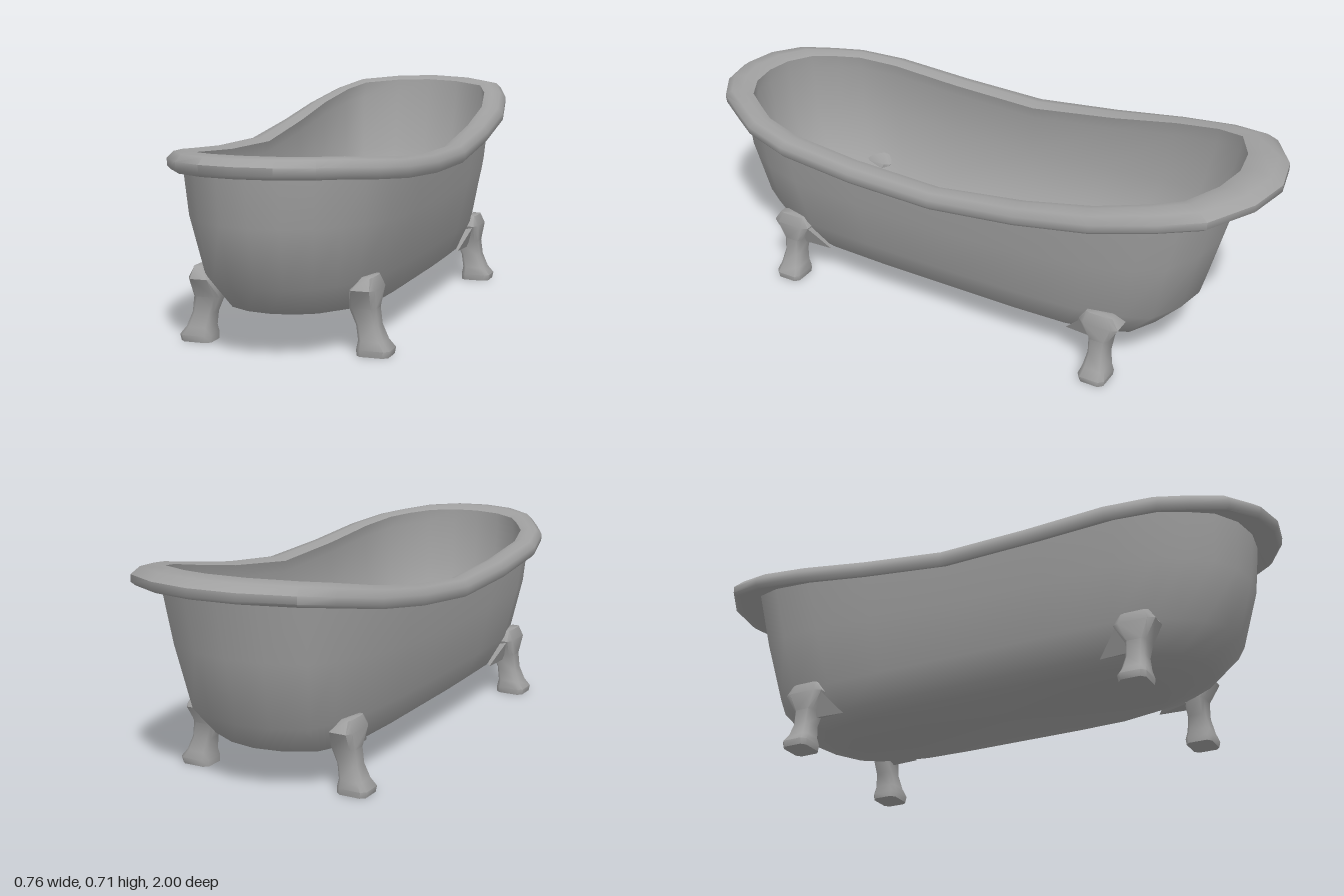
import * as THREE from 'three';
import { toCreasedNormals } from 'three/addons/utils/BufferGeometryUtils.js';
import { ConvexGeometry } from 'three/addons/geometries/ConvexGeometry.js';

const enamel = new THREE.MeshStandardMaterial({ color: 0xa0a0a0 });
enamel.name = 'grey enamel';

// Half plan of the tub (x, z), front to back, for a full-size rim
const HALF = [[0, 1], [0.11, 0.98], [0.21, 0.915], [0.275, 0.815], [0.33, 0.725], [0.37, 0.57],
  [0.38, 0.3], [0.38, 0], [0.38, -0.3], [0.37, -0.55], [0.33, -0.75], [0.28, -0.88],
  [0.14, -0.97], [0, -1]];
const OUTLINE = [...HALF, ...HALF.slice(1, -1).reverse().map(([x, z]) => [-x, z])];

// Height of the rim along its length (z, y)
const SHEER = [[-1, 0.708], [-0.88, 0.692], [-0.75, 0.668], [-0.55, 0.627], [-0.3, 0.585],
  [0, 0.55], [0.3, 0.555], [0.6, 0.575], [0.85, 0.6], [1, 0.608]];
function sheer(z) {
  let i = 1;
  while (i < SHEER.length - 1 && SHEER[i][0] < z) i++;
  const [z0, y0] = SHEER[i - 1], [z1, y1] = SHEER[i];
  return y0 + (y1 - y0) * (z - z0) / (z1 - z0);
}

// One level of the tub: half width, front and back reach, side height, share of sheer,
// how much fuller the ends are than the rim's, and the fall towards the front
function tubRing([w, front, back, y, k, full, fall = 0]) {
  return OUTLINE.map(([x, z]) => {
    const t = z * (1 + full * (1 - Math.abs(z)));
    const depth = t * (t > 0 ? front : back);
    return new THREE.Vector3(x * w / 0.38, y + k * (sheer(t) - 0.55) - fall * depth, depth);
  });
}

// Skin between closed rings, with optional end caps
function loft(rings, { capStart = false, capEnd = false, flip = false, crease = 1 } = {}) {
  const n = rings[0].length, pos = rings.flat().flatMap((p) => p.toArray()), index = [];
  const tri = (a, b, c) => (flip ? index.push(a, c, b) : index.push(a, b, c));
  for (let i = 0; i < rings.length - 1; i++) {
    for (let j = 0; j < n; j++) {
      const a = i * n + j, b = i * n + (j + 1) % n;
      tri(a, b, b + n);
      tri(a, b + n, a + n);
    }
  }
  const cap = (row, start) => {
    const centre = new THREE.Vector3();
    rings[row].forEach((p) => centre.addScaledVector(p, 1 / n));
    const c = pos.length / 3;
    pos.push(...centre.toArray());
    for (let j = 0; j < n; j++) {
      const a = row * n + j, b = row * n + (j + 1) % n;
      if (start) tri(c, b, a); else tri(c, a, b);
    }
  };
  if (capStart) cap(0, true);
  if (capEnd) cap(rings.length - 1, false);
  const geo = new THREE.BufferGeometry();
  geo.setAttribute('position', new THREE.Float32BufferAttribute(pos, 3));
  geo.setIndex(index);
  return toCreasedNormals(geo, crease);
}

function part(name, geo) {
  const mesh = new THREE.Mesh(geo, enamel);
  mesh.name = name;
  return mesh;
}

const SHELL = [
  [0.21, 0.6, 0.58, 0.103, 0, 0.25],
  [0.245, 0.75, 0.68, 0.13, 0, 0.25],
  [0.28, 0.85, 0.77, 0.215, 0.08, 0.25],
  [0.315, 0.9, 0.825, 0.38, 0.4, 0.25],
  [0.33, 0.915, 0.87, 0.515, 0.8, 0.25],
];
const RIM = [
  [0.33, 0.915, 0.87, 0.515, 0.8, 0.25],
  [0.371, 0.985, 0.985, 0.495, 1, 0],
  [0.38, 0.997, 1, 0.507, 1, 0],
  [0.38, 1, 1, 0.53, 1, 0],
  [0.365, 0.975, 0.965, 0.549, 1, 0],
  [0.335, 0.93, 0.91, 0.553, 1, 0.12],
  [0.305, 0.885, 0.865, 0.54, 1, 0.25],
];
// Basin walls tuck in behind the rim; the floor falls towards the front
const BASIN = [
  [0.305, 0.885, 0.865, 0.54, 1, 0.25],
  [0.314, 0.885, 0.858, 0.5, 0.9, 0.25],
  [0.298, 0.87, 0.81, 0.37, 0.45, 0.25],
  [0.266, 0.8, 0.74, 0.25, 0, 0.25, 0.07],
  [0.205, 0.63, 0.6, 0.185, 0, 0.25, 0.1],
];

// Leg levels: height, centre x, half width, half depth
const LEG = [
  [0, 0.281, 0.049, 0.043],
  [0.02, 0.283, 0.051, 0.046],
  [0.045, 0.275, 0.039, 0.038],
  [0.09, 0.262, 0.034, 0.03],
  [0.14, 0.248, 0.041, 0.033],
  [0.2, 0.255, 0.04, 0.068],
  [0.235, 0.266, 0.017, 0.045],
];
const OCTAGON = [[-0.7, 1], [0.7, 1], [1, 0.7], [1, -0.7],
  [0.7, -1], [-0.7, -1], [-1, -0.7], [-1, 0.7]];

function makeLeg(name, sx, sz, zc) {
  const leg = new THREE.Group();
  leg.name = name;
  const rings = LEG.map(([y, cx, hx, hz]) => OCTAGON.map(([u, v]) =>
    new THREE.Vector3(sx * (cx + u * hx), y, sz * (zc + v * hz))));
  leg.add(part('clawFoot', loft(rings, { capStart: true, capEnd: true, flip: sx * sz < 0 })));
  // Slim bracket lying along the tub wall
  const bracket = [[0.28, 0.2, -0.06], [0.243, 0.12, -0.13], [0.25, 0.12, -0.02],
    [0.215, 0.14, -0.1], [0.215, 0.13, -0.02], [0.25, 0.2, -0.05]];
  leg.add(part('bracket', new ConvexGeometry(bracket.map(([x, y, z]) =>
    new THREE.Vector3(sx * x, y, sz * (zc + z))))));
  return leg;
}

export function createModel() {
  const model = new THREE.Group();
  model.name = 'clawfootBathtub';
  model.add(part('outerShell', loft(SHELL.map(tubRing), { capStart: true })));
  model.add(part('rolledRim', loft(RIM.map(tubRing))));
  model.add(part('innerBasin', loft(BASIN.map(tubRing), { capEnd: true })));
  for (const [side, sx] of [['Left', 1], ['Right', -1]]) {
    model.add(makeLeg('front' + side + 'Leg', sx, 1, 0.615));
    model.add(makeLeg('back' + side + 'Leg', sx, -1, 0.555));
  }
  return model;
}
